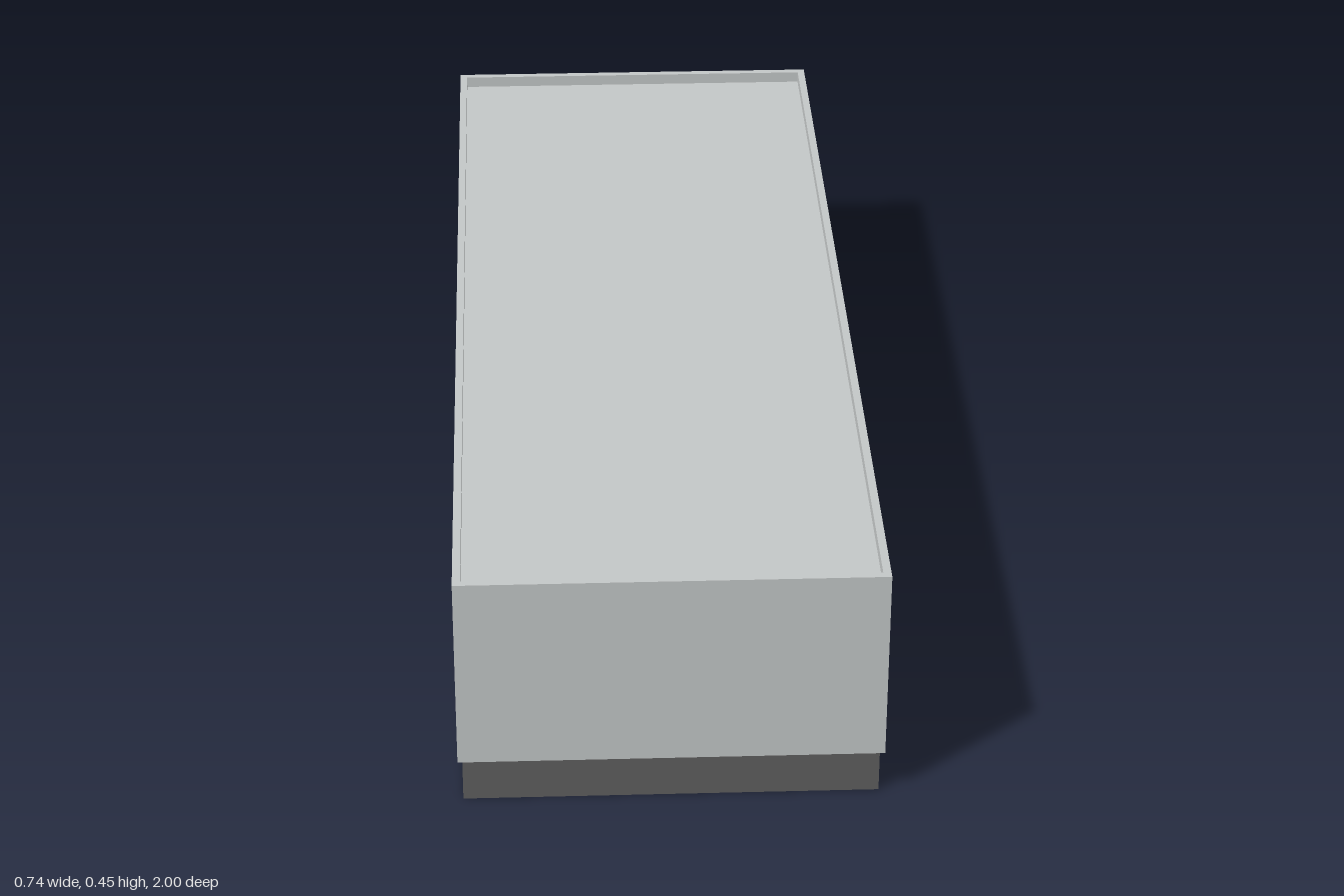
import * as THREE from 'three';

const W = 0.74, L = 2;             // outer plan size
const BASE_TOP = 0.078, WALL_BOTTOM = 0.086, ROOF = 0.428, TOP = 0.45;
const RIM = 0.014;                 // parapet thickness
const INSET = 0.008;               // plinth set back on the long sides

export function createModel() {
  const model = new THREE.Group();
  const wall = new THREE.MeshStandardMaterial({ color: 0xc4c8c8 });
  wall.name = 'light grey cladding';
  const plinth = new THREE.MeshStandardMaterial({ color: 0x5f5f5f });
  plinth.name = 'dark grey plinth';

  const add = (name, geometry, material) => {
    const mesh = new THREE.Mesh(geometry, material);
    mesh.name = name;
    model.add(mesh);
    return mesh;
  };
  const block = (w, l, y0, y1) =>
    new THREE.BoxGeometry(w, y1 - y0, l).translate(0, (y0 + y1) / 2, 0);
  const rect = (Type, w, l) => new Type([
    new THREE.Vector2(-w / 2, -l / 2), new THREE.Vector2(w / 2, -l / 2),
    new THREE.Vector2(w / 2, l / 2), new THREE.Vector2(-w / 2, l / 2),
  ]);

  // Recessed plinth
  const baseW = W - 2 * INSET, baseL = L - 0.024;
  add('plinth', block(baseW, baseL, 0, BASE_TOP), plinth);

  // Sloping ledge from plinth out to the walls
  const ledge = block(W, L, BASE_TOP, WALL_BOTTOM);
  const p = ledge.attributes.position;
  for (let i = 0; i < p.count; i++) {
    if (p.getY(i) < (BASE_TOP + WALL_BOTTOM) / 2) {
      p.setX(i, Math.sign(p.getX(i)) * baseW / 2);
      p.setZ(i, Math.sign(p.getZ(i)) * baseL / 2);
    }
  }
  ledge.computeVertexNormals();
  add('slopingLedge', ledge, plinth);

  // Outer walls, rising past the roof as a parapet
  const outline = rect(THREE.Shape, W, L);
  outline.holes.push(rect(THREE.Path, W - 2 * RIM, L - 2 * RIM));
  const walls = new THREE.ExtrudeGeometry(outline, { depth: TOP - WALL_BOTTOM, bevelEnabled: false });
  walls.rotateX(-Math.PI / 2).translate(0, WALL_BOTTOM, 0);
  add('wallsAndParapet', walls, wall);

  // Flat roof inside the parapet
  add('flatRoof', block(W - 2 * RIM, L - 2 * RIM, ROOF - 0.02, ROOF), wall);

  return model;
}
